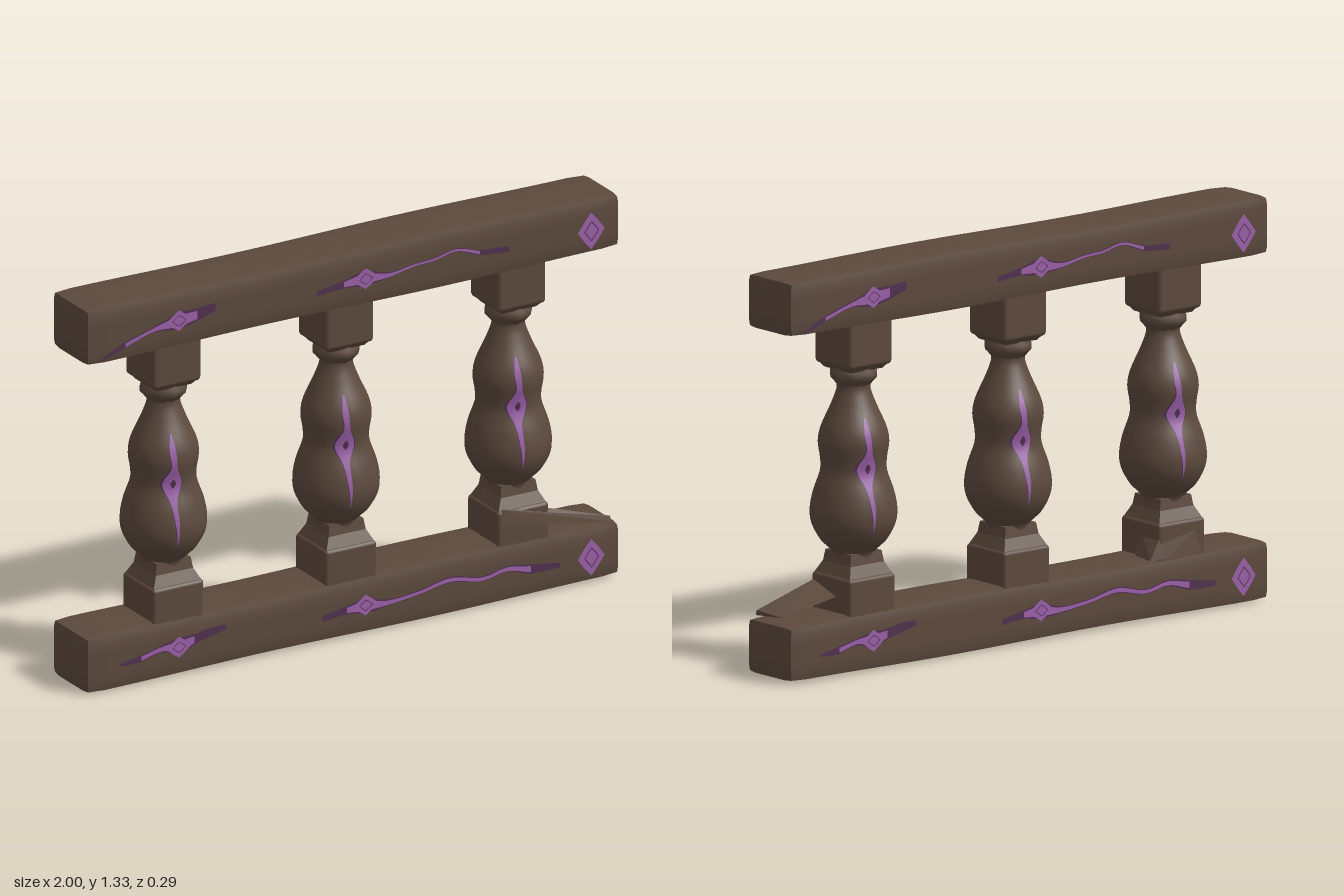
import * as THREE from 'three';
import { RoundedBoxGeometry } from 'three/addons/geometries/RoundedBoxGeometry.js';
import { ConvexGeometry } from 'three/addons/geometries/ConvexGeometry.js';

const wood = new THREE.MeshStandardMaterial({ color: 0x5c493d });
wood.name = 'dark wood';
const glow = new THREE.MeshStandardMaterial({ color: 0x9a60a8, side: THREE.DoubleSide });
glow.name = 'purple crystal';
const shade = new THREE.MeshStandardMaterial({ color: 0x50304f, side: THREE.DoubleSide });
shade.name = 'deep purple';

const POSTS = [-0.647, 0, 0.645];
const RAIL_FRONT = 0.114;

// Turned outline of a baluster: radius, height
const profile = new THREE.SplineCurve([
  [0.068, 0.34], [0.07, 0.38], [0.108, 0.42], [0.135, 0.47], [0.141, 0.52], [0.13, 0.58], [0.108, 0.645],
  [0.108, 0.69], [0.115, 0.74], [0.106, 0.79], [0.075, 0.86], [0.056, 0.91], [0.054, 0.935],
].map(([r, y]) => new THREE.Vector2(r, y))).getPoints(48);

function radiusAt(y) {
  const i = Math.max(1, profile.findIndex((p) => p.y >= y));
  const a = profile[i - 1], b = profile[i];
  return THREE.MathUtils.mapLinear(y, a.y, b.y, a.x, b.x);
}

function add(parent, name, geometry, material, x = 0, y = 0, z = 0) {
  const mesh = new THREE.Mesh(geometry, material);
  mesh.name = name;
  mesh.position.set(x, y, z);
  parent.add(mesh);
  return mesh;
}

// Flat-sided square taper
function taper(top, bottom, height) {
  const g = new THREE.CylinderGeometry(top * Math.SQRT2, bottom * Math.SQRT2, height, 4);
  g.rotateY(Math.PI / 4);
  const flat = g.toNonIndexed();
  flat.computeVertexNormals();
  return flat;
}

function makeBaluster(x) {
  const g = new THREE.Group();
  g.name = 'baluster';
  g.position.x = x;
  add(g, 'lowerBlock', new RoundedBoxGeometry(0.192, 0.14, 0.195, 2, 0.012), wood, 0, 0.24);
  add(g, 'lowerShoulder', taper(0.07, 0.09, 0.04), wood, 0, 0.326);
  add(g, 'lowerNeck', taper(0.064, 0.07, 0.04), wood, 0, 0.363);
  add(g, 'turnedShaft', new THREE.LatheGeometry(profile, 28), wood);
  const collar = [[0.052, 0.925], [0.068, 0.945], [0.078, 0.955], [0.078, 0.975], [0.066, 0.992], [0.066, 1.01]];
  add(g, 'collar', new THREE.LatheGeometry(collar.map(([r, y]) => new THREE.Vector2(r, y)), 10), wood);
  add(g, 'upperShoulder', taper(0.085, 0.066, 0.025), wood, 0, 0.995);
  add(g, 'upperBlock', new RoundedBoxGeometry(0.18, 0.16, 0.182, 2, 0.014), wood, 0, 1.077);
  return g;
}

// Rail with a slight hand-hewn waviness
function railGeometry() {
  const g = new THREE.BoxGeometry(2, 0.19, 0.226, 30, 6, 6);
  const p = g.attributes.position, v = new THREE.Vector3(), c = new THREE.Vector3();
  const r = 0.022, inner = new THREE.Vector3(1 - r, 0.095 - r, 0.113 - r);
  for (let i = 0; i < p.count; i++) {
    v.fromBufferAttribute(p, i);
    c.copy(v).clamp(inner.clone().negate(), inner);
    v.sub(c);
    if (v.lengthSq() > 0) v.setLength(r);
    v.add(c);
    v.y += 0.003 * Math.sin(v.x * 5) * Math.sign(v.y) * (Math.abs(v.y) > 0.06 ? 1 : 0);
    p.setXYZ(i, v.x, v.y, v.z);
  }
  g.computeVertexNormals();
  return g;
}

// Tapered strip along points [x, y, half width], laid on the surface z = depth(x, y)
function strip(points, vertical, depth, steps = 40) {
  const curve = new THREE.CatmullRomCurve3(points.map((p) => new THREE.Vector3(...p)), false, 'centripetal');
  const pos = [], index = [];
  for (let i = 0; i <= steps; i++) {
    const p = curve.getPoint(i / steps), w = Math.max(0.001, p.z);
    for (const s of [-1, 0, 1]) {
      const x = p.x + (vertical ? -s * w : 0), y = p.y + (vertical ? 0 : s * w);
      pos.push(x, y, depth(x, y));
    }
    if (i === steps) break;
    for (const k of [0, 1]) {
      const a = i * 3 + k;
      index.push(a, a + 3, a + 1, a + 1, a + 3, a + 4);
    }
  }
  const g = new THREE.BufferGeometry();
  g.setAttribute('position', new THREE.Float32BufferAttribute(pos, 3));
  g.setIndex(index);
  g.computeVertexNormals();
  return g;
}

// Jagged vein: deep colour underneath, bright core, small deep ring at the crystal
function railCrack(parent, points, brightFrom, brightTo) {
  add(parent, 'crackEdge', strip(points, false, () => RAIL_FRONT + 0.001), shade);
  const core = points.slice(brightFrom, brightTo).map(([x, y, w]) => [x, y, w * 0.65]);
  add(parent, 'crackCore', strip(core, false, () => RAIL_FRONT + 0.003), glow);
}

function crystal(parent, x, y, w, h) {
  const outline = (k) => {
    const s = new THREE.Shape();
    for (let i = 0; i < 8; i++) {
      const a = i * Math.PI / 4, m = (i % 2 ? 0.74 : 1) * k;
      s[i ? 'lineTo' : 'moveTo'](w * m * Math.cos(a), h * m * Math.sin(a));
    }
    return s;
  };
  const ring = outline(0.55);
  ring.holes.push(outline(0.47));
  add(parent, 'crystalFace', new THREE.ShapeGeometry(outline(1)), glow, x, y, RAIL_FRONT + 0.005);
  add(parent, 'crystalRing', new THREE.ShapeGeometry(ring), shade, x, y, RAIL_FRONT + 0.0075);
}

function makeVeins() {
  const g = new THREE.Group();
  g.name = 'crystalVeins';
  // Lower rail
  railCrack(g, [[-0.88, 0.085, 0.004], [-0.8, 0.093, 0.012], [-0.72, 0.11, 0.012], [-0.66, 0.105, 0.028],
    [-0.6, 0.118, 0.018], [-0.54, 0.13, 0.015], [-0.48, 0.137, 0.008]], 1, 5);
  railCrack(g, [[-0.12, 0.088, 0.01], [-0.03, 0.1, 0.014], [0.04, 0.102, 0.026], [0.12, 0.095, 0.012],
    [0.24, 0.105, 0.008], [0.36, 0.125, 0.01], [0.48, 0.103, 0.009], [0.57, 0.118, 0.01],
    [0.66, 0.1, 0.016], [0.77, 0.09, 0.008]], 1, 9);
  // Upper rail
  railCrack(g, [[-0.95, 1.155, 0.004], [-0.86, 1.19, 0.01], [-0.75, 1.222, 0.01], [-0.66, 1.232, 0.028],
    [-0.59, 1.24, 0.022], [-0.52, 1.253, 0.014]], 1, 5);
  railCrack(g, [[-0.14, 1.218, 0.008], [-0.04, 1.23, 0.014], [0.04, 1.235, 0.026], [0.13, 1.228, 0.01],
    [0.22, 1.242, 0.006], [0.3, 1.247, 0.006], [0.38, 1.262, 0.006], [0.47, 1.235, 0.009], [0.58, 1.225, 0.01]], 1, 8);
  for (const [y, dy] of [[0.105, 0], [1.235, 0]]) {
    crystal(g, -0.66, y, 0.048, 0.036);
    crystal(g, 0.04, y + dy, 0.048, 0.036);
    crystal(g, 0.885, y - 0.01, 0.05, 0.064);
  }
  // Upright veins wrapped on the balusters
  const vein = [[-0.028, 0.46, 0.001], [-0.03, 0.54, 0.008], [-0.033, 0.61, 0.013], [-0.03, 0.67, 0.036],
    [-0.027, 0.725, 0.012], [-0.03, 0.78, 0.012], [-0.026, 0.835, 0.003]];
  const on = (lift) => (x, y) => Math.sqrt(radiusAt(y) ** 2 - x * x) + lift;
  for (const x of POSTS) {
    add(g, 'balusterVeinEdge', strip(vein, true, on(0.003)), shade, x);
    add(g, 'balusterVeinCore', strip(vein.map(([a, b, w]) => [a, b, w * 0.85]), true, on(0.006)), glow, x);
    const spot = [[-0.031, 0.655, 0.002], [-0.03, 0.67, 0.009], [-0.029, 0.685, 0.002]];
    add(g, 'balusterVeinSpot', strip(spot, true, on(0.009), 8), shade, x);
  }
  return g;
}

function splinter(parent, name, points) {
  add(parent, name, new ConvexGeometry(points.map((p) => new THREE.Vector3(...p))), wood);
}

export function createModel() {
  const model = new THREE.Group();
  model.name = 'balustrade';
  const rail = railGeometry();
  add(model, 'lowerRail', rail, wood, 0, 0.1);
  add(model, 'upperRail', rail, wood, 0, 1.235);
  for (const x of POSTS) model.add(makeBaluster(x));

  // Same veins on the front and, turned half around, on the back
  const front = makeVeins();
  const back = front.clone();
  back.rotation.y = Math.PI;
  model.add(front, back);

  // Broken splinters at the feet of the outer balusters
  splinter(model, 'longSplinter', [[0.56, 0.32, 0.1], [0.56, 0.275, 0.104], [0.74, 0.285, 0.085],
    [0.74, 0.235, 0.104], [0.72, 0.25, -0.03], [0.97, 0.213, 0.095], [0.97, 0.196, 0.1], [0.94, 0.198, 0]]);
  splinter(model, 'shortSplinter', [[-0.57, 0.285, -0.09], [-0.56, 0.27, 0], [-0.51, 0.196, -0.1],
    [-0.53, 0.196, 0], [-0.57, 0.196, 0], [-0.7, 0.27, -0.098], [-0.72, 0.196, -0.108], [-0.57, 0.196, -0.108]]);
  return model;
}
